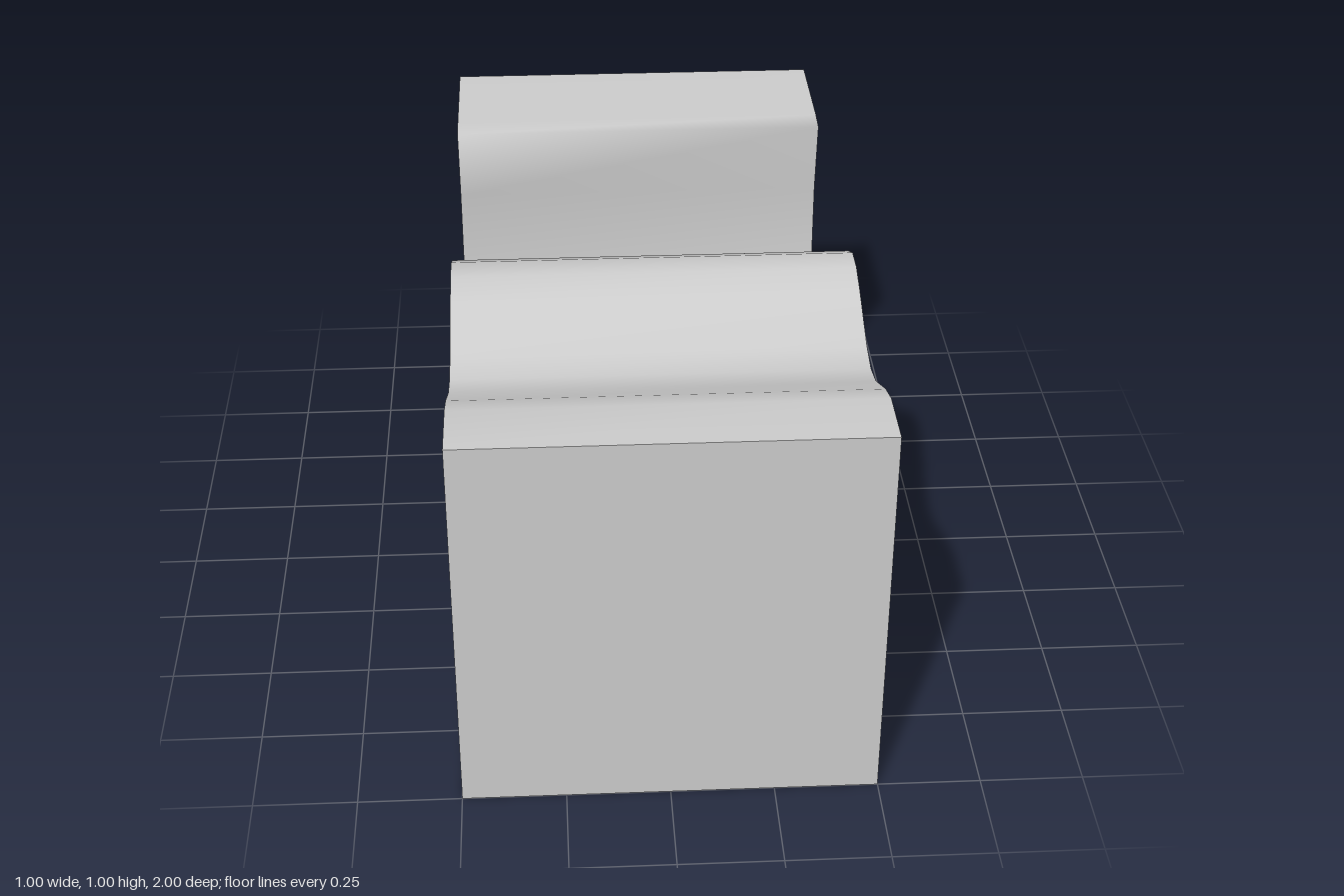
import * as THREE from 'three';

// Upper outline as [z, y], from the front edge to the back edge
const ridge = [
  [1, 1], [0.84, 1], [0.76, 0.975], [0.62, 0.91], [0.54, 0.895], [0.46, 0.91],
  [0.305, 0.975], [0.23, 1], [0.155, 1], [0.08, 0.965], [-0.04, 0.83],
  [-0.125, 0.797], [-0.21, 0.757], [-0.305, 0.495], [-0.385, 0.165],
  [-0.46, 0.04], [-0.54, 0.17], [-0.615, 0.49], [-0.622, 0.79],
  [-0.59, 0.993], [-0.655, 1], [-0.965, 1],
];
const frontFoot = [1, 0];
const backFoot = [-1, 0];
const halfWidth = 0.5;

export function createModel() {
  const group = new THREE.Group();
  const material = new THREE.MeshStandardMaterial({ color: 0xcccccc });

  function add(name, geometry) {
    const mesh = new THREE.Mesh(geometry, material);
    mesh.name = name;
    group.add(mesh);
  }

  // Sheet spanning the full width along a run of [z, y] points, smooth along the run
  function sheet(points) {
    const geometry = new THREE.PlaneGeometry(2 * halfWidth, 1, 1, points.length - 1);
    const position = geometry.attributes.position;
    [...points].reverse().forEach(([z, y], row) => {
      position.setXYZ(2 * row, -halfWidth, y, z);
      position.setXYZ(2 * row + 1, halfWidth, y, z);
    });
    geometry.computeVertexNormals();
    return geometry;
  }

  // Flat side wall in the shape of the whole outline
  function sideWall(side) {
    const outline = [frontFoot, ...ridge, backFoot];
    const shape = new THREE.Shape(outline.map(([z, y]) => new THREE.Vector2(-side * z, y)));
    return new THREE.ShapeGeometry(shape)
      .rotateY(side * Math.PI / 2)
      .translate(side * halfWidth, 0, 0);
  }

  // Wavy top with the deep valley
  add('terrainSurface', sheet(ridge));

  // Straight faces of the block
  add('frontWall', sheet([frontFoot, ridge[0]]));
  add('backWall', sheet([ridge[ridge.length - 1], backFoot]));
  add('base', sheet([backFoot, frontFoot]));
  add('leftWall', sideWall(1));
  add('rightWall', sideWall(-1));

  return group;
}
